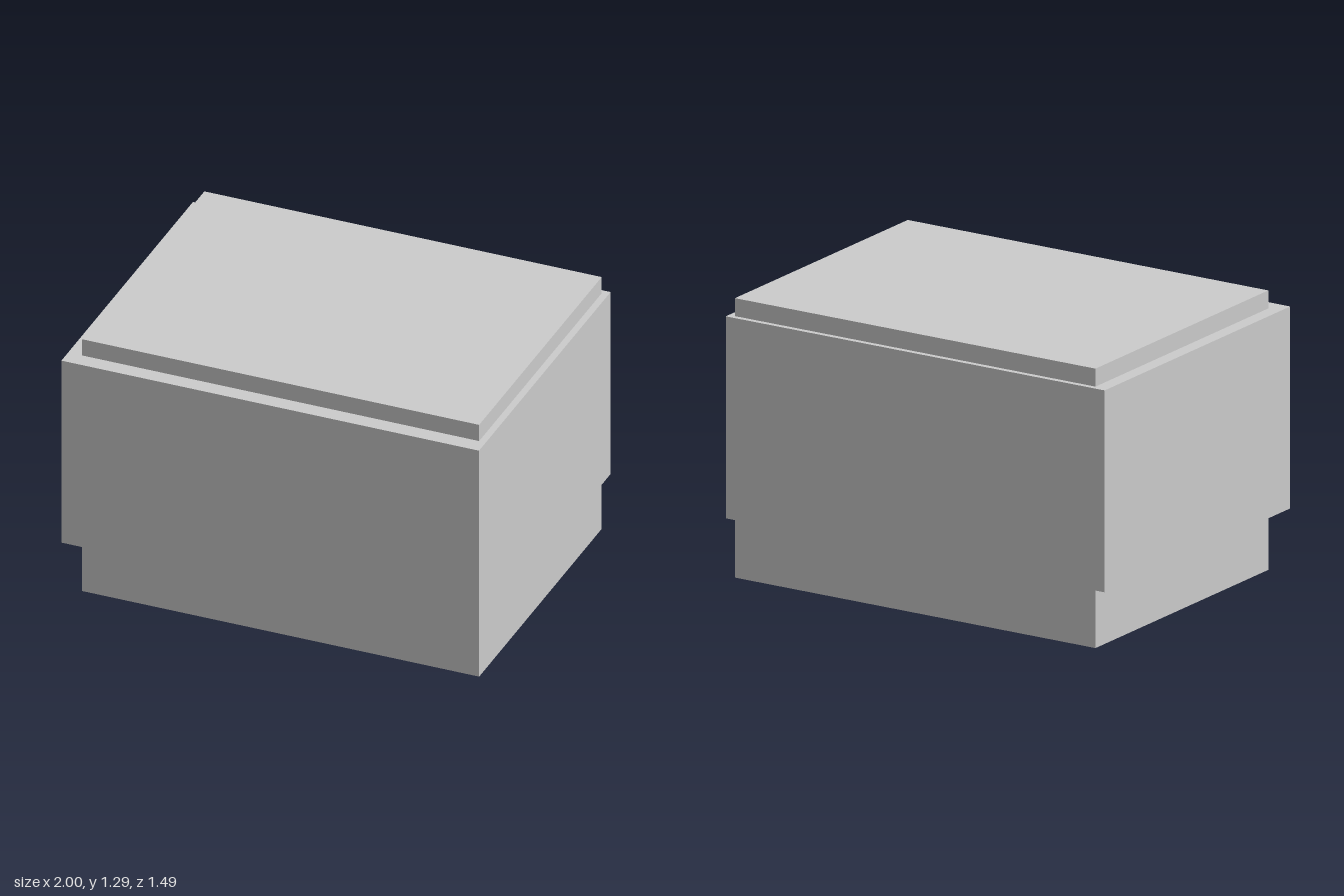
import * as THREE from 'three';

// Box given by its [min, max] extent along each axis
function block(name, [x0, x1], [y0, y1], [z0, z1], material) {
  const mesh = new THREE.Mesh(new THREE.BoxGeometry(x1 - x0, y1 - y0, z1 - z0), material);
  mesh.position.set((x0 + x1) / 2, (y0 + y1) / 2, (z0 + z1) / 2);
  mesh.name = name;
  return mesh;
}

export function createModel() {
  const group = new THREE.Group();
  group.name = 'box';
  const material = new THREE.MeshStandardMaterial({ color: 0xcccccc });

  // Inner core, slightly off centre, showing as the base below and the raised top above
  group.add(block('core', [-0.935, 0.968], [0, 1.291], [-0.72, 0.668], material));

  // Wider sleeve around the core
  group.add(block('sleeve', [-1, 1], [0.275, 1.208], [-0.745, 0.745], material));

  return group;
}
